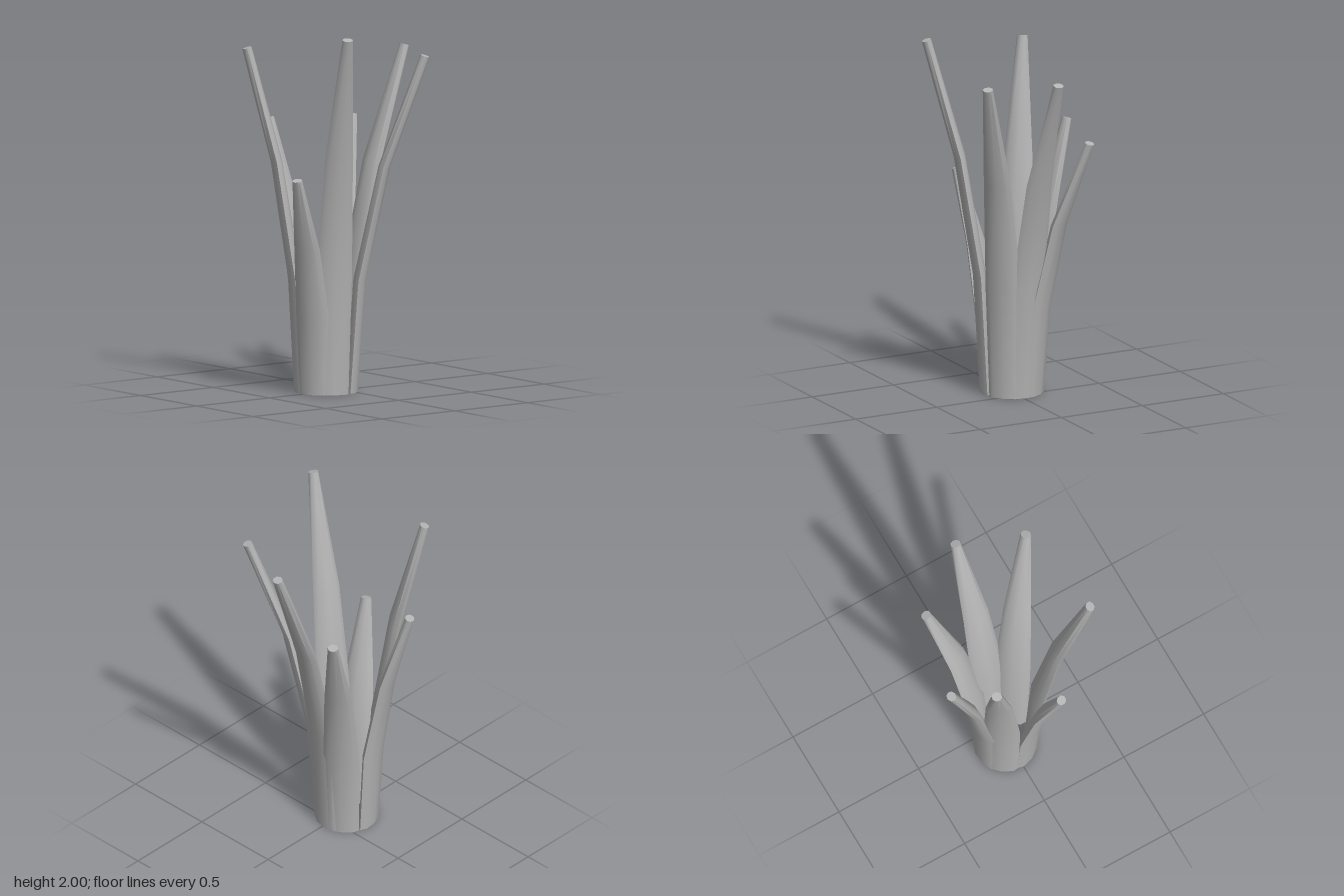
import * as THREE from 'three';
import { toCreasedNormals } from 'three/addons/utils/BufferGeometryUtils.js';

const SIDES = 8;
const BASE_RADIUS = 0.14;
// half width and half thickness at four even heights
const HALF_WIDTH = [0.09, 0.1, 0.077, 0.029];
const HALF_THICK = [0.034, 0.035, 0.031, 0.025];

// A flattened stalk that bends outward along +x and tapers to a blunt tip
function leafGeometry(height, reach) {
  const geo = new THREE.CylinderGeometry(1, 1, 1, SIDES, 3);
  const pos = geo.attributes.position;
  for (let i = 0; i < pos.count; i++) {
    const t = pos.getY(i) + 0.5;
    const row = Math.round(t * 3);
    const radial = pos.getX(i) * HALF_THICK[row];
    const x = BASE_RADIUS + (reach - BASE_RADIUS) * t * t + radial;
    // tilt each section slightly with the bend, keeping the foot flat
    const y = height * t - (radial + (row === 3 ? HALF_THICK[3] : 0)) * 0.3 * t;
    pos.setXYZ(i, x, Math.min(y, height), pos.getZ(i) * HALF_WIDTH[row]);
  }
  // lift the tip so its inner rim meets the full height
  for (let i = 0; i < pos.count; i++) {
    pos.setY(i, pos.getY(i) * height / (height - 0.001));
  }
  return toCreasedNormals(geo, 0.9);
}

export function createModel() {
  const group = new THREE.Group();
  group.name = 'leafCluster';
  const leafGrey = new THREE.MeshStandardMaterial({ color: 0xb4b4b4 });
  leafGrey.name = 'leafGrey';

  // compass angle in degrees (from +x toward +z), height, tip distance
  const leaves = [
    [0, 1.865, 0.54],
    [42, 1.855, 0.54],
    [113, 2.0, 0.465],
    [153, 1.21, 0.365],
    [216, 1.895, 0.43],
    [257, 1.475, 0.4],
    [325, 1.465, 0.475],
  ];
  leaves.forEach(([angle, height, reach], i) => {
    const leaf = new THREE.Mesh(leafGeometry(height, reach), leafGrey);
    leaf.name = `leaf${i + 1}`;
    leaf.rotation.y = -THREE.MathUtils.degToRad(angle);
    leaf.position.set(-0.1, 0, -0.015);
    group.add(leaf);
  });
  return group;
}
